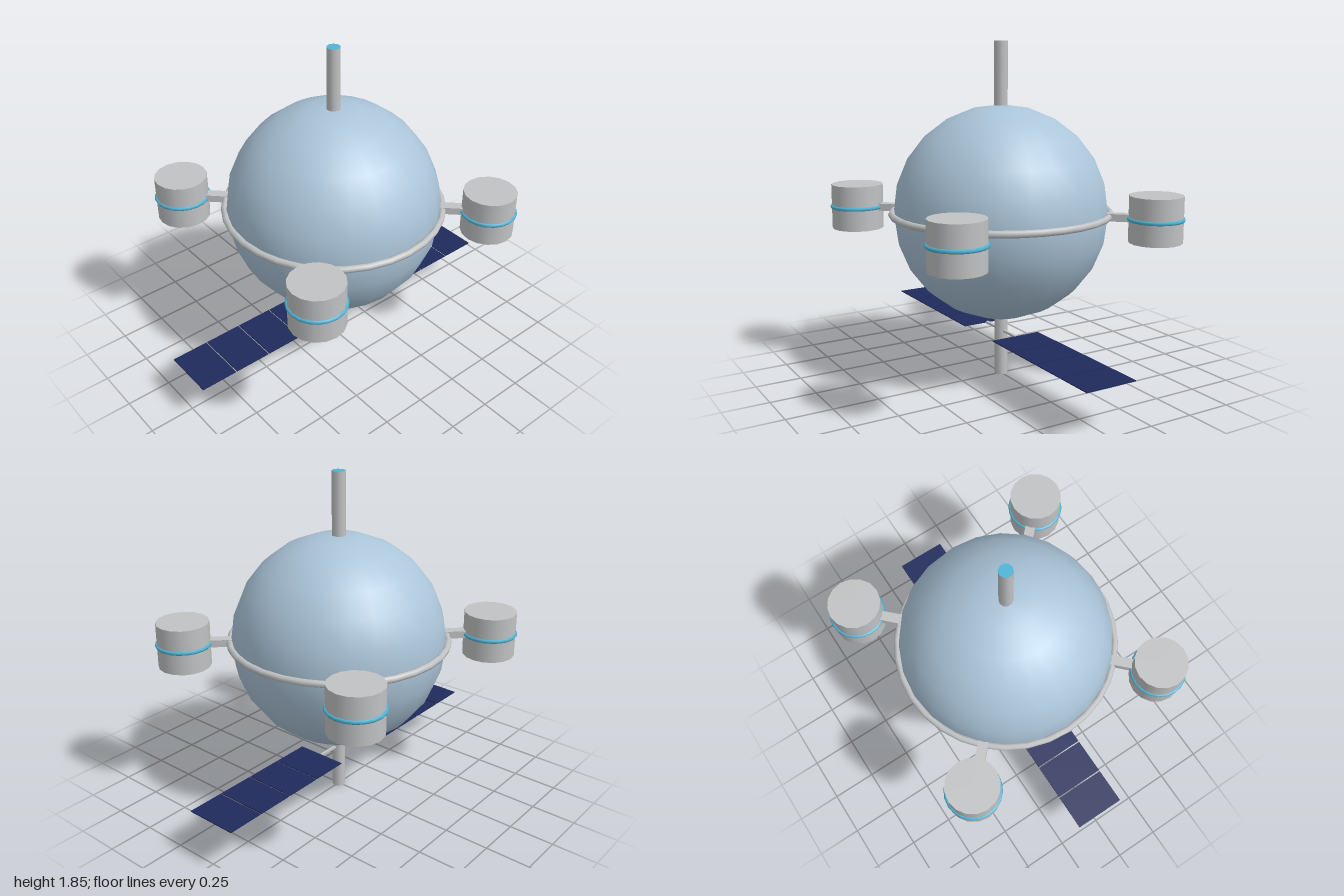
import * as THREE from 'three';

const mat = (name, color) => {
  const m = new THREE.MeshStandardMaterial({ color });
  m.name = name;
  return m;
};

export function createModel() {
  const hullBlue = mat('hull blue', 0xabc5d9);
  const metal = mat('metal grey', 0xc0c2c3);
  const glow = mat('cyan accent', 0x4fb4d6);
  const panelBlue = mat('panel navy', 0x1f2a5c);
  const shell = mat('pod shell grey', 0xc0c2c3);
  shell.side = THREE.DoubleSide;

  const MID = 0.925, PANEL_Y = 0.255;
  const model = new THREE.Group();
  model.name = 'spaceStation';
  const add = (parent, name, geometry, material, x = 0, y = 0, z = 0) => {
    const mesh = new THREE.Mesh(geometry, material);
    mesh.name = name;
    mesh.position.set(x, y, z);
    parent.add(mesh);
    return mesh;
  };

  // Spherical hull and its equator ring
  add(model, 'hull', new THREE.SphereGeometry(0.585, 24, 12), hullBlue, 0, MID);
  add(model, 'equatorRing', new THREE.TorusGeometry(0.594, 0.019, 8, 32).rotateX(Math.PI / 2), metal, 0, MID);

  // Upper antenna with a cyan tip, lower mast in plain metal
  const mast = (h) => new THREE.CylinderGeometry(0.0365, 0.0365, h, 10);
  add(model, 'upperMast', mast(0.375), [metal, glow, metal], 0, 1.6575);
  add(model, 'lowerMast', mast(0.375), metal, 0, 0.1875);

  // Four hollow pods on diagonal struts, open underneath
  const podWall = new THREE.CylinderGeometry(0.144, 0.144, 0.25, 16, 1, true);
  const podLid = new THREE.CircleGeometry(0.144, 16).rotateX(-Math.PI / 2).rotateY(Math.PI / 2);
  const podBand = new THREE.TorusGeometry(0.143, 0.011, 6, 20).rotateX(Math.PI / 2);
  const strut = new THREE.BoxGeometry(0.2, 0.04, 0.055);
  for (let i = 0; i < 4; i++) {
    const a = Math.PI / 4 + i * Math.PI / 2;
    const dx = Math.cos(a), dz = Math.sin(a);
    const pod = new THREE.Group();
    pod.name = 'pod';
    pod.position.set(dx * 0.839, MID, dz * 0.839);
    add(pod, 'podWall', podWall, shell);
    add(pod, 'podLid', podLid, shell, 0, 0.125);
    add(pod, 'podBand', podBand, glow);
    model.add(pod);
    add(model, 'strut', strut, metal, dx * 0.64, MID, dz * 0.64).rotation.y = -a;
  }

  // Crossbar carrying two wings of four solar panels
  add(model, 'crossbar', new THREE.BoxGeometry(0.31, 0.012, 0.015), metal, 0, PANEL_Y);
  const panel = new THREE.BoxGeometry(0.206, 0.005, 0.29);
  for (const side of [-1, 1]) {
    for (let i = 0; i < 4; i++) {
      add(model, 'solarPanel', panel, panelBlue, side * (0.897 - i * 0.2135), PANEL_Y);
    }
  }
  return model;
}
